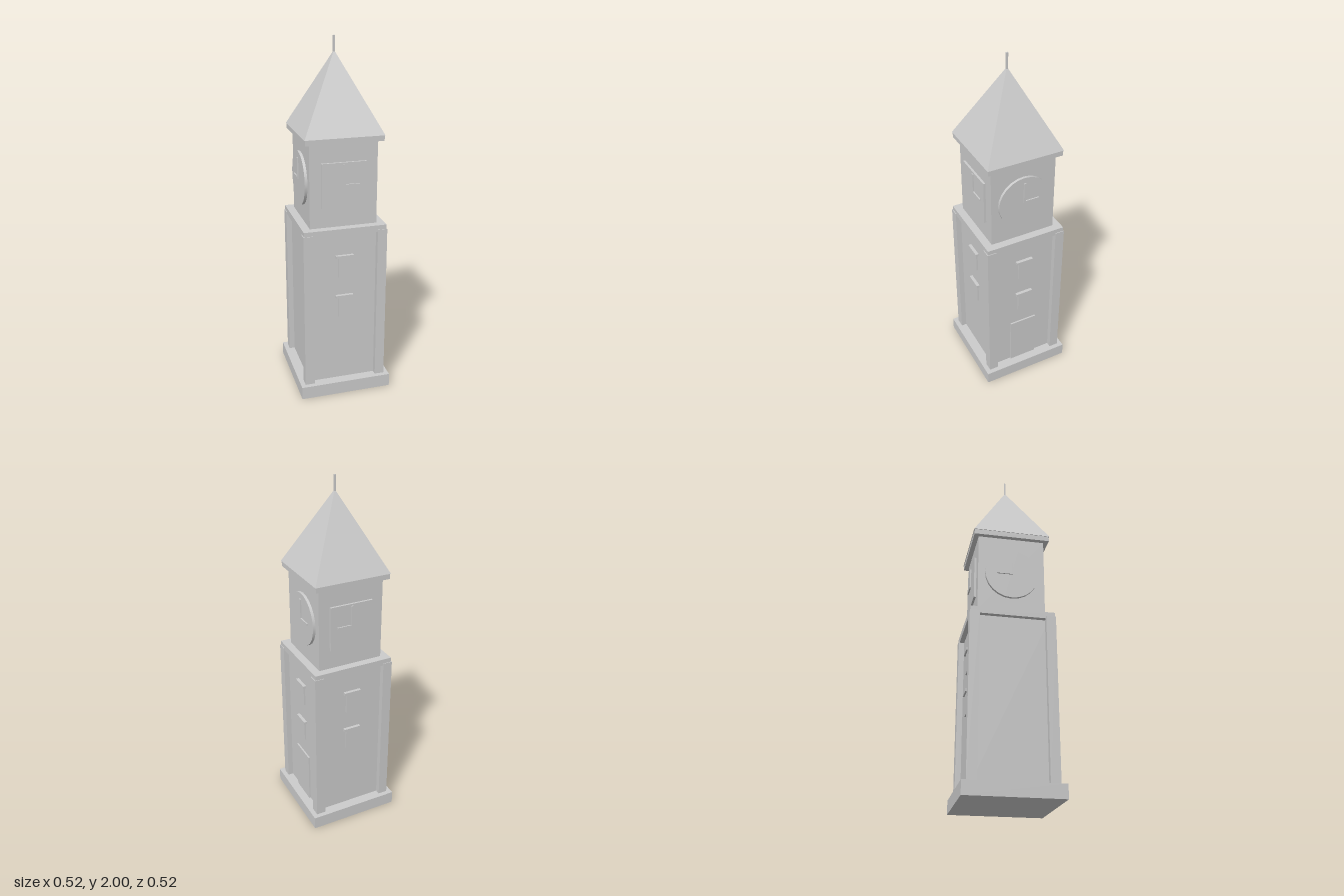
import * as THREE from 'three';

const stone = new THREE.MeshStandardMaterial({ color: 0xcccccc });
stone.name = 'pale grey stone';

function add(parent, name, geometry, x = 0, y = 0, z = 0) {
  const mesh = new THREE.Mesh(geometry, stone);
  mesh.name = name;
  mesh.position.set(x, y, z);
  parent.add(mesh);
  return mesh;
}

// Box centred on x and z, spanning y0 to y1
function block(parent, name, w, y0, y1, d, x = 0, z = 0) {
  return add(parent, name, new THREE.BoxGeometry(w, y1 - y0, d), x, (y0 + y1) / 2, z);
}

const WALL = 0.205;   // half width of the shaft
const BELFRY = 0.188; // half width of the clock stage
const CLOCK_Y = 1.245;

// Clock on a wall facing +z; side is the direction of the short hand
function clock(parent, round, side) {
  const depth = round ? 0.015 : 0.012;
  if (round) {
    const disc = new THREE.CylinderGeometry(0.149, 0.149, depth, 24).rotateX(Math.PI / 2);
    add(parent, 'roundClockFace', disc, 0, CLOCK_Y, BELFRY + depth / 2);
  } else {
    block(parent, 'squareClockFace', 0.25, CLOCK_Y - 0.125, CLOCK_Y + 0.125, depth, 0, BELFRY + depth / 2);
  }
  const z = BELFRY + depth + 0.003;
  block(parent, 'longHand', 0.012, CLOCK_Y - 0.006, CLOCK_Y + 0.115, 0.008, 0, z);
  block(parent, 'shortHand', 0.08, CLOCK_Y - 0.006, CLOCK_Y + 0.006, 0.008, side * 0.045, z);
}

// Two windows, one above the other, each with a lintel
function windows(parent) {
  for (const y of [0.475, 0.715]) {
    block(parent, 'windowPane', 0.07, y, y + 0.12, 0.009, 0, WALL + 0.0045);
    block(parent, 'windowLintel', 0.1, y + 0.118, y + 0.133, 0.018, 0, WALL + 0.009);
  }
}

export function createModel() {
  const tower = new THREE.Group();
  tower.name = 'clockTower';

  // Shaft
  block(tower, 'plinth', 0.525, 0, 0.075, 0.525);
  block(tower, 'shaft', WALL * 2, 0.075, 0.975, WALL * 2);
  for (const x of [-1, 1]) for (const z of [-1, 1])
    block(tower, 'cornerPost', 0.054, 0.075, 0.985, 0.054, x * 0.209, z * 0.209);
  block(tower, 'shaftCap', 0.464, 0.972, 1.01, 0.464);

  // Clock stage and roof
  block(tower, 'belfry', BELFRY * 2, 1.01, 1.475, BELFRY * 2);
  block(tower, 'eave', 0.43, 1.475, 1.508, 0.43);
  const roof = new THREE.ConeGeometry(0.218 * Math.SQRT2, 0.42, 4).toNonIndexed();
  roof.rotateY(Math.PI / 4);
  roof.computeVertexNormals();
  add(tower, 'roof', roof, 0, 1.715, 0);
  block(tower, 'spire', 0.01, 1.9, 2, 0.01);

  // Details of each wall, in order: front, left, back, right
  const walls = [
    { name: 'frontWall', hand: 1, windows: true },
    { name: 'leftWall', round: true, hand: 1, windows: true, door: true },
    { name: 'backWall', hand: -1, windows: true },
    { name: 'rightWall', round: true, hand: -1 },
  ];
  walls.forEach((spec, i) => {
    const wall = new THREE.Group();
    wall.name = spec.name;
    wall.rotation.y = i * Math.PI / 2;
    clock(wall, spec.round, spec.hand);
    if (spec.windows) windows(wall);
    if (spec.door) block(wall, 'door', 0.165, 0.075, 0.375, 0.009, 0, WALL + 0.0045);
    tower.add(wall);
  });
  return tower;
}
